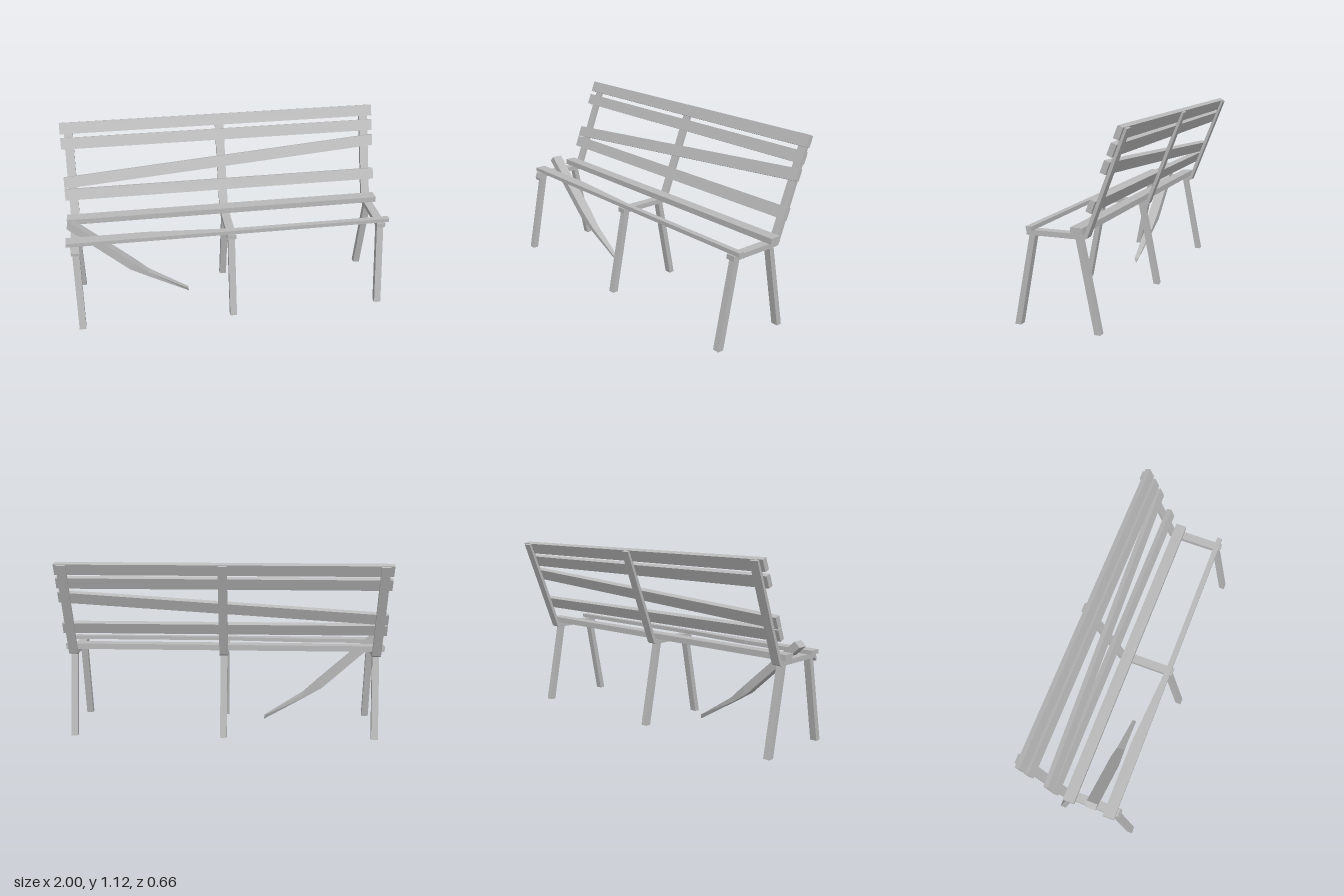
import * as THREE from 'three';

const wood = new THREE.MeshStandardMaterial({ color: 0xb8b8b8 });
wood.name = 'greyWood';

// side profile of [z, y] points, extruded across x
function profile(name, points, x, width) {
  const shape = new THREE.Shape(points.map(([z, y]) => new THREE.Vector2(-z, y)));
  const geo = new THREE.ExtrudeGeometry(shape, { depth: width, bevelEnabled: false });
  geo.rotateY(Math.PI / 2).translate(x - width / 2, 0, 0);
  return named(name, geo);
}

function named(name, geo) {
  const mesh = new THREE.Mesh(geo, wood);
  mesh.name = name;
  return mesh;
}

// flat-faced plank through four-cornered sections, listed along +x
// corner order: bottom front, bottom back, top back, top front
function loft(name, sections) {
  const pos = [];
  const quad = (a, b, c, d) => pos.push(...a, ...b, ...c, ...a, ...c, ...d);
  for (let s = 0; s < sections.length - 1; s++) {
    const a = sections[s], b = sections[s + 1];
    for (let i = 0; i < 4; i++) {
      const j = (i + 1) % 4;
      quad(a[i], a[j], b[j], b[i]);
    }
  }
  const first = sections[0], last = sections[sections.length - 1];
  quad(first[3], first[2], first[1], first[0]);
  quad(last[0], last[1], last[2], last[3]);
  const geo = new THREE.BufferGeometry();
  geo.setAttribute('position', new THREE.Float32BufferAttribute(pos, 3));
  geo.computeVertexNormals();
  return named(name, geo);
}

// section from a lower and an upper [x, y] point and a z range
const section = (low, up, zFront, zBack) => [
  [...low, zFront], [...low, zBack], [...up, zBack], [...up, zFront]];

// tilted rectangle centred on (y, z)
function leaning(x, y, z) {
  const tilt = 0.378, h = 0.035, t = 0.016;
  const c = Math.cos(tilt), s = Math.sin(tilt);
  return [[-h, t], [-h, -t], [h, -t], [h, t]].map(
    ([v, w]) => [x, y + v * c + w * s, z - v * s + w * c]);
}

export function createModel() {
  const bench = new THREE.Group();
  bench.name = 'brokenBench';

  // three frames: seat bearer with back post, and two splayed legs
  for (const x of [-0.945, 0, 0.945]) {
    const frame = new THREE.Group();
    frame.name = 'frame';
    frame.add(
      profile('bearerAndBackPost', [
        [0.245, 0.514], [0.245, 0.543], [-0.092, 0.543], [-0.312, 1.108],
        [-0.33, 1.1], [-0.107, 0.523], [-0.09, 0.514]], x, 0.054),
      profile('frontLeg', [[0.333, 0], [0.297, 0], [0.196, 0.52], [0.229, 0.52]], x, 0.042),
      profile('rearLeg', [[-0.14, 0], [-0.175, 0], [-0.071, 0.52], [-0.038, 0.52]], x, 0.042));
    bench.add(frame);
  }

  // splintered end of the left-hand bearer
  bench.add(profile('splinter', [
    [0.236, 0.543], [0.247, 0.543], [0.258, 0.51], [0.257, 0.492], [0.243, 0.51]], -0.945, 0.054));

  // back slats, one of them hanging crooked: [y, z] at each end
  const slats = [
    [1.081, -0.29, 1.081, -0.29], [0.994, -0.254, 0.994, -0.254],
    [0.768, -0.163, 0.904, -0.217], [0.698, -0.137, 0.698, -0.137]];
  for (const [y0, z0, y1, z1] of slats) {
    bench.add(loft('backSlat', [leaning(-0.995, y0, z0), leaning(0.992, y1, z1)]));
  }

  // rear seat slat
  bench.add(loft('rearSeatSlat', [-0.995, 0.992].map(
    (x) => section([x, 0.546], [x, 0.581], -0.021, -0.091))));

  // front seat slat, split away to a narrow strip
  bench.add(loft('frontSeatSlat', [[-0.998, 0.164], [-0.52, 0.164], [0, 0.2], [0.998, 0.2]].map(
    ([x, back]) => section([x, 0.543], [x, 0.567], 0.234, back))));

  // snapped slat fallen through the seat
  bench.add(loft('fallenSlat', [
    section([-0.99, 0.599], [-0.957, 0.631], 0.116, 0.05),
    section([-0.63, 0.27], [-0.6, 0.31], 0.116, 0.05),
    section([-0.53, 0.207], [-0.51, 0.228], 0.108, 0.058),
    section([-0.257, 0.043], [-0.262, 0.07], 0.085, 0.081).map(
      (p, i) => (i < 2 ? p : [p[0], p[1], i === 2 ? 0.07 : 0.096]))]));

  return bench;
}
